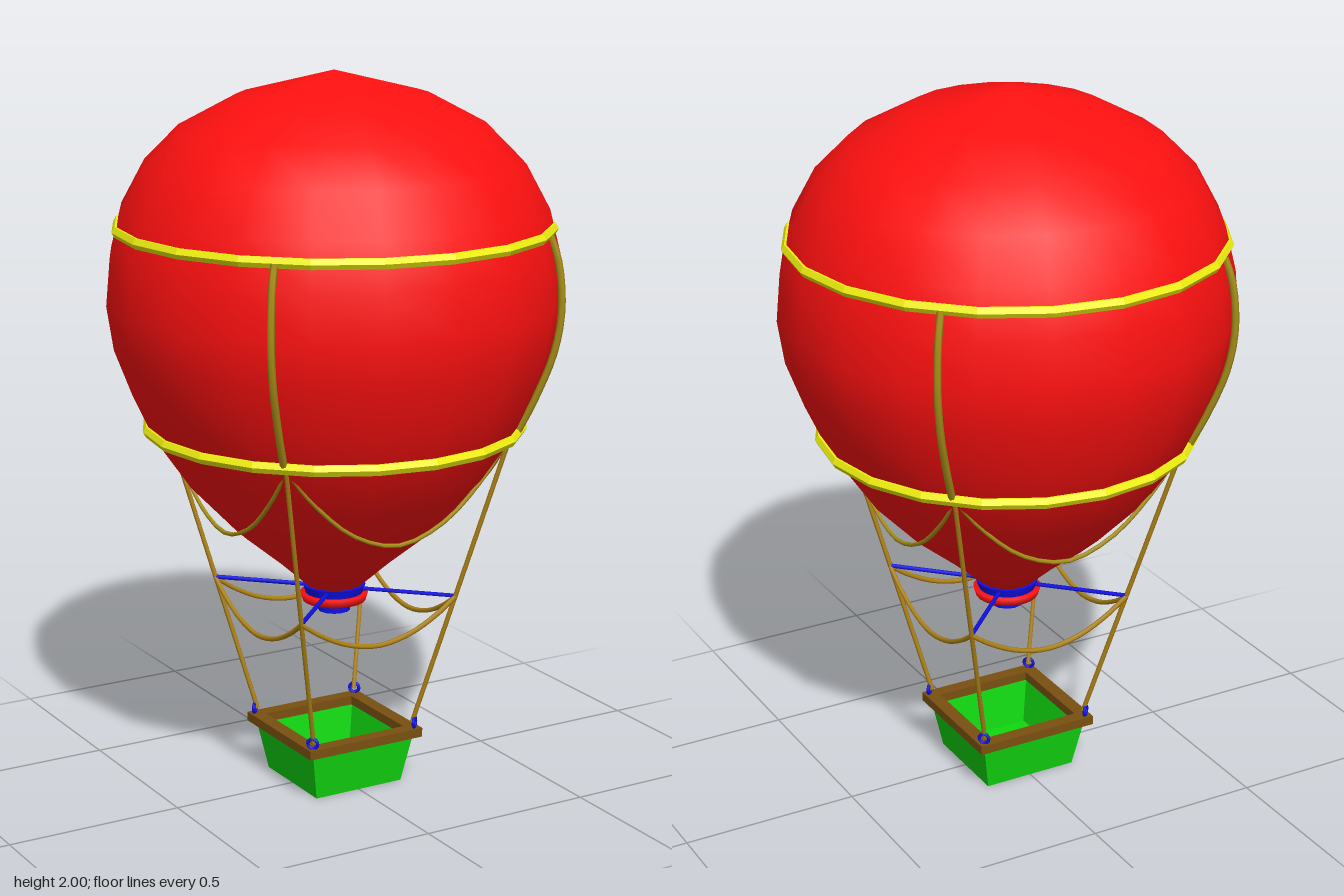
import * as THREE from 'three';

const mat = (color, opts = {}) => new THREE.MeshStandardMaterial({ color, ...opts });
const V = (x, y, z) => new THREE.Vector3(x, y, z);

export function createModel() {
  const group = new THREE.Group();
  const red = mat(0xff1010);
  const yellow = mat(0xf0f010, { flatShading: true });
  const gold = mat(0xa89018);
  const rope = mat(0xb08418);
  const blue = mat(0x1010e8);
  const green = mat(0x10d810, { flatShading: true });
  const brown = mat(0x7a5010, { flatShading: true });

  const add = (name, geometry, material, parent = group) => {
    const mesh = new THREE.Mesh(geometry, material);
    mesh.name = name;
    parent.add(mesh);
    return mesh;
  };
  const lathe = (pts, segments) =>
    new THREE.LatheGeometry(pts.map(([r, y]) => new THREE.Vector2(r, y)), segments);
  const tube = (pts, radius, segments) =>
    new THREE.TubeGeometry(new THREE.CatmullRomCurve3(pts), segments, radius, 6);
  // Straight rod between two points
  const rod = (name, a, b, radius, material) => {
    const dir = b.clone().sub(a);
    const mesh = add(name, new THREE.CylinderGeometry(radius, radius, dir.length(), 6), material);
    mesh.position.copy(a).add(b).multiplyScalar(0.5);
    mesh.quaternion.setFromUnitVectors(V(0, 1, 0), dir.normalize());
  };

  // Envelope, 20 sided, from the mouth up to the crown
  const profile = [[0, 0.565], [0.07, 0.565], [0.165, 0.65], [0.275, 0.74], [0.4, 0.87], [0.5, 1.015],
    [0.555, 1.135], [0.604, 1.265], [0.622, 1.385], [0.61, 1.515], [0.58, 1.635],
    [0.515, 1.755], [0.42, 1.85], [0.26, 1.935], [0, 2]];
  add('envelope', lathe(profile, 20), red);

  // Bands around the envelope
  for (const [name, r, y] of [['upperBand', 0.587, 1.583], ['lowerBand', 0.513, 1.034]]) {
    const band = add(name, new THREE.TorusGeometry(r, 0.017, 6, 20), yellow);
    band.rotation.x = Math.PI / 2;
    band.position.y = y;
  }

  // Burner mouth below the envelope
  add('mouthCollar', new THREE.CylinderGeometry(0.088, 0.08, 0.025, 20), blue).position.y = 0.56;
  add('mouthSkirt', lathe([[0.05, 0.525], [0.088, 0.525], [0.095, 0.548], [0.05, 0.548], [0.05, 0.525]], 20), red);
  add('mouthRing', new THREE.TorusGeometry(0.066, 0.012, 6, 20).rotateX(Math.PI / 2), blue).position.y = 0.532;
  add('burner', new THREE.CylinderGeometry(0.045, 0.045, 0.06, 12), blue).position.y = 0.525;

  // Seams, ropes and hooks at the four corners
  const seam = [[0.507, 1.03], [0.558, 1.135], [0.607, 1.265], [0.625, 1.385], [0.613, 1.515], [0.59, 1.58]];
  const d = Math.SQRT1_2;
  for (const sx of [1, -1]) for (const sz of [1, -1]) {
    add('seam', tube(seam.map(([r, y]) => V(sx * r * d, y, sz * r * d)), 0.01, 16), gold);
    rod('rope', V(sx * 0.348, 1.025, sz * 0.348), V(sx * 0.16, 0.18, sz * 0.16), 0.007, rope);
    rod('strut', V(0, 0.562, 0), V(sx * 0.245, 0.562, sz * 0.245), 0.006, blue);
    const hook = add('hook', new THREE.TorusGeometry(0.014, 0.005, 6, 12), blue);
    hook.position.set(sx * 0.165, 0.18, sz * 0.165);
    hook.rotation.y = sx * sz * Math.PI / 4;
  }

  // Slack ropes hanging between neighbouring corners, on all four sides
  for (let side = 0; side < 4; side++) {
    for (const [name, w, y, drop, r, m] of [['upperSwag', 0.345, 1.02, 0.25, 0.006, gold],
      ['lowerSwag', 0.245, 0.56, 0.1, 0.007, rope]]) {
      const pts = [-1, -0.75, -0.4, 0, 0.4, 0.75, 1].map(t =>
        V(t * w, y - drop * (1 - Math.abs(t) ** 1.9), w));
      add(name, tube(pts, r, 18), m).rotation.y = side * Math.PI / 2;
    }
  }

  // Hollow square basket with a wooden rim
  const q = Math.SQRT2;
  const square = pts => lathe(pts.map(([h, y]) => [h * q, y]), 4).toNonIndexed().rotateY(Math.PI / 4);
  add('basket', square([[0, 0.003], [0.137, 0.003], [0.163, 0.148], [0.148, 0.148], [0.125, 0.015], [0, 0.015]]), green);
  add('basketRim', square([[0.142, 0.139], [0.181, 0.139], [0.181, 0.165], [0.142, 0.165], [0.142, 0.139]]), brown);

  return group;
}
